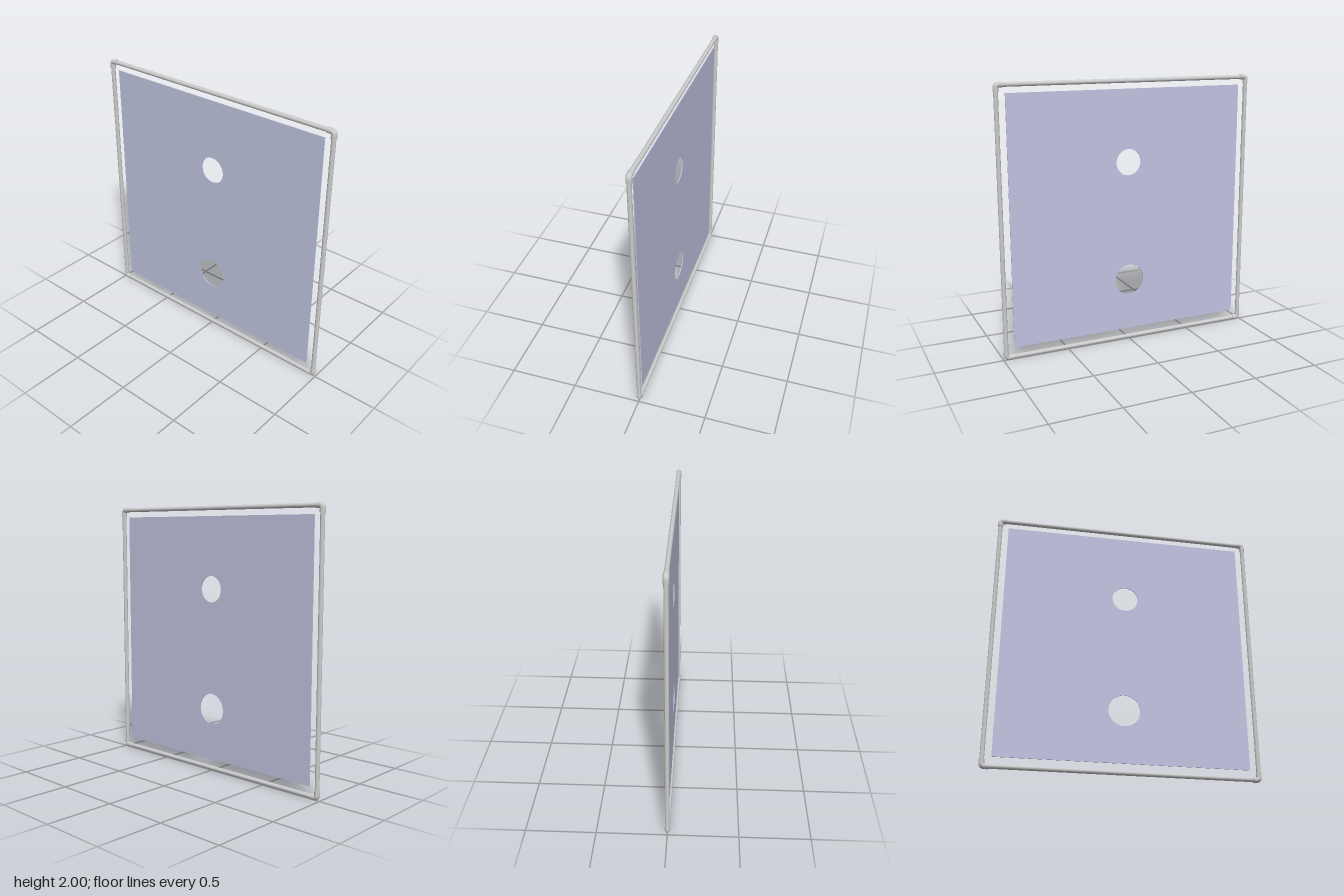
import * as THREE from 'three';

const H = 0.98;        // half distance between pipe centre lines
const ARM = 0.933;     // where the corner fittings end
const PIPE_R = 0.016;
const FIT_R = 0.02;
const BEND = 0.022;    // bend radius of the fittings

export function createModel() {
  const model = new THREE.Group();
  const grey = new THREE.MeshStandardMaterial({ color: 0xcccccc });
  const blue = new THREE.MeshStandardMaterial({ color: 0xc0c4e0 });

  const add = (parent, name, geometry, material) => {
    const mesh = new THREE.Mesh(geometry, material);
    mesh.name = name;
    parent.add(mesh);
    return mesh;
  };

  // Square panel with two round holes
  const s = 0.917;
  const shape = new THREE.Shape();
  shape.moveTo(-s, -s).lineTo(s, -s).lineTo(s, s).lineTo(-s, s).closePath();
  for (const [x, y, r] of [[0.005, 0.382, 0.098], [0, -0.525, 0.117]]) {
    shape.holes.push(new THREE.Path().absarc(x, y, r, 0, Math.PI * 2, true));
  }
  const depth = 0.006;
  const panelGeometry = new THREE.ExtrudeGeometry(shape, { depth, bevelEnabled: false, curveSegments: 32 });
  panelGeometry.translate(0, 0, -depth / 2);
  add(model, 'panel', panelGeometry, blue).position.y = 1.005;

  // Corner fitting: a short bent tube with flat ends
  const path = new THREE.CurvePath();
  const v = (x, y) => new THREE.Vector3(x, y, 0);
  path.add(new THREE.LineCurve3(v(ARM, H), v(H - BEND, H)));
  path.add(new THREE.QuadraticBezierCurve3(v(H - BEND, H), v(H, H), v(H, H - BEND)));
  path.add(new THREE.LineCurve3(v(H, H - BEND), v(H, ARM)));
  const elbow = new THREE.TubeGeometry(path, 24, FIT_R, 24, false);
  const cap = new THREE.CircleGeometry(FIT_R, 24);

  // Four sides of the frame, each a pipe and the fitting at its end
  const frame = new THREE.Group();
  frame.name = 'frame';
  frame.position.y = 1;
  model.add(frame);
  const pipe = new THREE.CylinderGeometry(PIPE_R, PIPE_R, 2 * ARM + 0.02, 24);
  pipe.rotateZ(Math.PI / 2);
  ['top', 'left', 'bottom', 'right'].forEach((name, i) => {
    const side = new THREE.Group();
    side.name = name + 'Side';
    side.rotation.z = -i * Math.PI / 2;
    frame.add(side);
    add(side, 'pipe', pipe, grey).position.y = H;
    add(side, 'cornerFitting', elbow, grey);
    const end1 = add(side, 'fittingEnd', cap, grey);
    end1.position.set(ARM, H, 0);
    end1.rotation.y = -Math.PI / 2;
    const end2 = add(side, 'fittingEnd', cap, grey);
    end2.position.set(H, ARM, 0);
    end2.rotation.x = Math.PI / 2;
  });

  return model;
}
